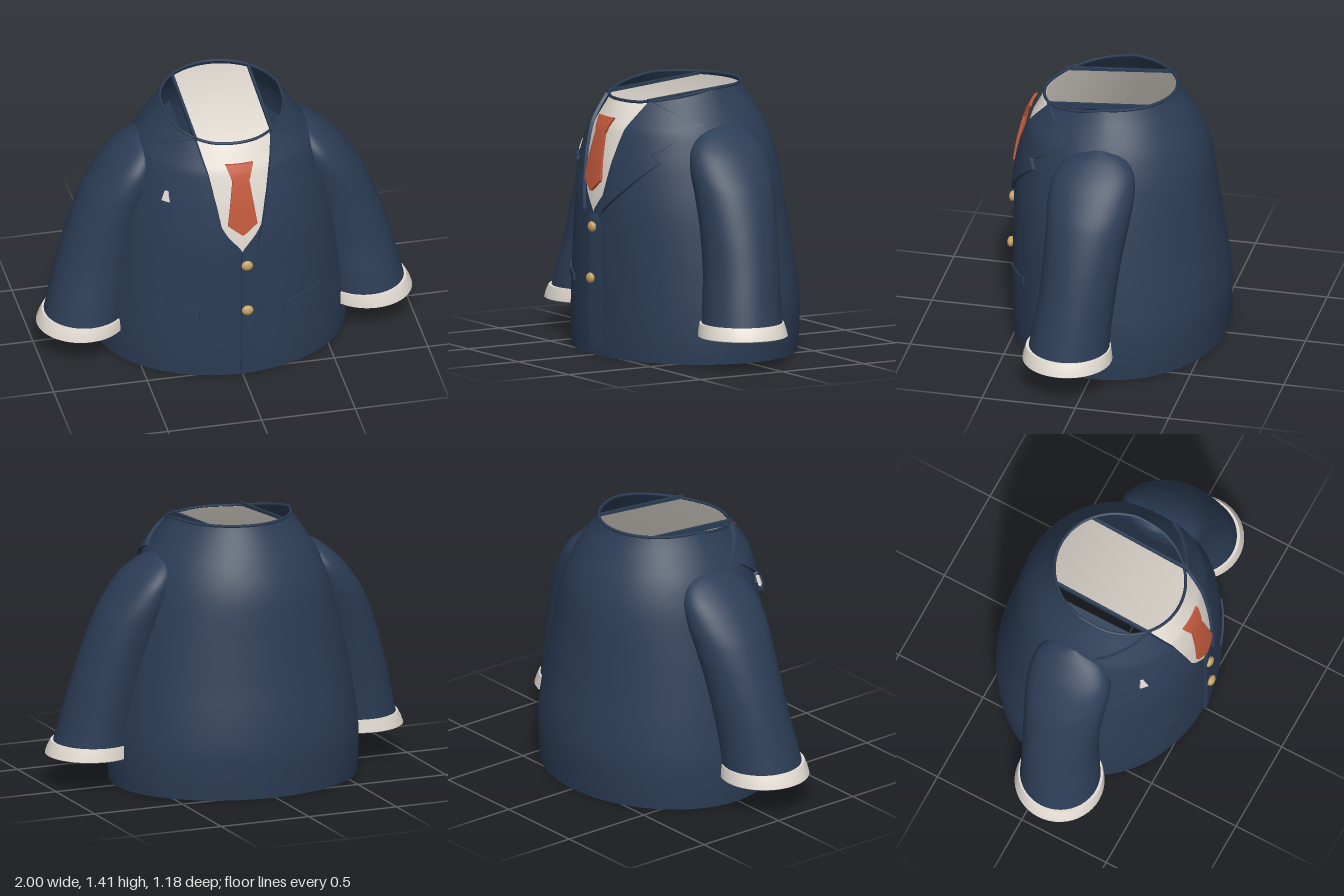
import * as THREE from 'three';
import { mergeVertices, toCreasedNormals } from 'three/addons/utils/BufferGeometryUtils.js';

const mat = (name, color) => new THREE.MeshStandardMaterial({ name, color, side: THREE.DoubleSide });
const { clamp, lerp } = THREE.MathUtils;

// Smooth lookup in a table of rows [y, a, b, ...]
function lookup(rows, y) {
  const n = rows.length;
  let i = 0;
  while (i < n - 2 && y > rows[i + 1][0]) i++;
  const p = rows[i], q = rows[i + 1], h = q[0] - p[0];
  const t = clamp((y - p[0]) / h, 0, 1);
  const slope = (k, c) => {
    const a = rows[Math.max(k - 1, 0)], b = rows[Math.min(k + 1, n - 1)];
    return (b[c] - a[c]) / (b[0] - a[0]);
  };
  return p.slice(1).map((_, j) => {
    const c = j + 1, t2 = t * t, t3 = t2 * t;
    return (2 * t3 - 3 * t2 + 1) * p[c] + (t3 - 2 * t2 + t) * h * slope(i, c)
      + (3 * t2 - 2 * t3) * q[c] + (t3 - t2) * h * slope(i + 1, c);
  });
}

// Straight lookup for outlines that need sharp corners
function outline(rows, y) {
  let i = 0;
  while (i < rows.length - 2 && y > rows[i + 1][0]) i++;
  const p = rows[i], q = rows[i + 1], t = clamp((y - p[0]) / (q[0] - p[0]), 0, 1);
  return p.slice(1).map((a, j) => lerp(a, q[j + 1], t));
}

// Surface grid from fn(u index, v index) -> [x, y, z]
function grid(nu, nv, fn, crease) {
  const pos = [], idx = [];
  for (let j = 0; j <= nv; j++) for (let i = 0; i <= nu; i++) pos.push(...fn(i, j));
  for (let j = 0; j < nv; j++) for (let i = 0; i < nu; i++) {
    const a = j * (nu + 1) + i, b = a + 1, c = a + nu + 1, d = c + 1;
    idx.push(a, b, d, a, d, c);
  }
  let g = new THREE.BufferGeometry();
  g.setAttribute('position', new THREE.Float32BufferAttribute(pos, 3));
  g.setIndex(idx);
  g = mergeVertices(g, 1e-5);
  g.computeVertexNormals();
  return crease ? toCreasedNormals(g, crease) : g;
}

// Torso: height, half width, front z, back z
const TORSO = [
  [0, 0.665, 0.54, -0.572], [0.1, 0.672, 0.545, -0.582], [0.25, 0.668, 0.547, -0.59],
  [0.4, 0.65, 0.547, -0.577], [0.6, 0.62, 0.545, -0.547], [0.8, 0.582, 0.54, -0.52],
  [1.0, 0.53, 0.515, -0.493], [1.1, 0.497, 0.494, -0.468], [1.2, 0.455, 0.467, -0.425],
  [1.3, 0.392, 0.432, -0.368], [1.36, 0.35, 0.41, -0.33], [1.41, 0.318, 0.388, -0.305]];
const NECKLINE = [[0.76, 0], [0.85, 0.075], [0.92, 0.115], [1.37, 0.19], [1.41, 0.2]];

// The neck opening dips toward the front
const dip = (y, z) => y - 0.07 * clamp((y - 1.2) / 0.21, 0, 1) * clamp(z / 0.36, 0, 1);

// Point on the torso at x and y, pushed out by off
function onTorso(x, y, off = 0, side = 1) {
  const [rx, f, b] = lookup(TORSO, y);
  const rz = (f - b) / 2, k = clamp(x / rx, -0.985, 0.985);
  const dz = side * rz * Math.sqrt(1 - k * k), z = (f + b) / 2 + dz;
  const n = new THREE.Vector3(k / rx, 0.25, dz / rz / rz).normalize().multiplyScalar(off);
  return [k * rx + n.x, dip(y, z) + n.y, z + n.z];
}

// Raised patch on the torso front; rows are [y, x from, x to], with closed rims
function patch(rows, off, { slope = 0, n = 10, base = 0 } = {}) {
  const ys = [];
  rows.forEach((r, i) => {
    ys.push(r[0]);
    const next = rows[i + 1];
    if (!next) return;
    const m = Math.ceil((next[0] - r[0]) / 0.02);
    for (let k = 1; k < m; k++) ys.push(lerp(r[0], next[0], k / m));
  });
  ys.unshift(ys[0]);
  ys.push(ys[ys.length - 1]);
  return grid(n + 2, ys.length - 1, (i, j) => {
    const y = ys[j], [a, b] = outline(rows, y);
    const s = clamp((i - 1) / n, 0, 1), x = lerp(a, b, s);
    const rim = i === 0 || i === n + 2 || j === 0 || j === ys.length - 1;
    return onTorso(x, y + slope * x, rim ? base : typeof off === 'function' ? off(s) : off);
  }, 0.6);
}

// Horizontal ellipse loft; rows are [y, x centre, z centre, x radius, z radius]
function ellipseLoft(rows, nu, crease) {
  return grid(nu, rows.length - 1, (i, j) => {
    const [y, cx, cz, rx, rz] = rows[j], a = -i / nu * Math.PI * 2;
    const c = i === nu ? 1 : Math.cos(a), s = i === nu ? 0 : Math.sin(a);
    return [cx + rx * c, y, cz + rz * s];
  }, crease);
}

export function createModel() {
  const model = new THREE.Group();
  model.name = 'suitJacket';
  const navy = mat('navy cloth', 0x2c3d56), white = mat('white cloth', 0xe3dcd3);
  const red = mat('tie red', 0xc2593c), gold = mat('button gold', 0xc4a162);
  const add = (name, geo, m, parent = model) => {
    const mesh = new THREE.Mesh(geo, m);
    mesh.name = name;
    parent.add(mesh);
    return mesh;
  };

  // Jacket body, open at hem and neck, parted along the neckline
  const NU = 96, NV = 71;
  add('jacketBody', grid(NU, NV, (i, j) => {
    const y = 1.41 * j / NV, [rx, f, b] = lookup(TORSO, y);
    const v = y <= 0.76 ? 0 : outline(NECKLINE, y)[0];
    const a0 = Math.asin(v / rx), a = lerp(a0, Math.PI * 2 - a0, i / NU);
    const z = (f + b) / 2 + (f - b) / 2 * Math.cos(a);
    return [rx * Math.sin(a), dip(y, z), z];
  }), navy);

  // Turned-in hem
  add('hem', ellipseLoft([[0.04, 0, -0.016, 0.652, 0.541], [0, 0, -0.016, 0.648, 0.538],
    [0, 0, -0.016, 0.665, 0.556]], 96, 0.6), navy);

  // Front overlap, fading into the body on one side
  add('frontPlacket', patch([[0.03, -0.01, 0.12], [0.7, -0.01, 0.1], [0.75, -0.005, 0.04]],
    s => lerp(0.018, -0.003, s), { base: -0.003 }), navy);

  // Neck binding
  const rim = [];
  for (const side of [1, -1]) for (let i = 0; i <= 16; i++) {
    const k = side * Math.sin((i / 16 - 0.5) * Math.PI * 0.96);
    rim.push(new THREE.Vector3(...onTorso(k * 0.316, 1.405, 0, side)));
  }
  add('neckBinding', new THREE.TubeGeometry(new THREE.CatmullRomCurve3(rim, true), 96, 0.008, 6, true), navy);

  // Shirt front, and the strip that carries it back across the neck
  const HALF = 0.2, STEPS = 12;
  add('shirtFront', patch([[0.72, -HALF, HALF], [1.4, -HALF, HALF]], -0.01, { base: -0.012 }), white);
  const strip = grid(STEPS, STEPS, (i, j) => {
    const x = lerp(-HALF, HALF, i / STEPS), t = j / STEPS;
    const f = onTorso(x, 1.4, -0.012), b = onTorso(x, 1.39, -0.012, -1);
    return [x, lerp(f[1], b[1], t), lerp(f[2], b[2], t)];
  });
  // Its normals carry on from the shirt front so the two shade as one cloth
  const at = strip.attributes.position, normal = new THREE.Vector3();
  for (let i = 0; i < at.count; i++) {
    normal.set(0, clamp(0.3 + at.getZ(i) * 0.5, 0.1, 0.5), 1).normalize();
    strip.attributes.normal.setXYZ(i, normal.x, normal.y, normal.z);
  }
  add('shirtNeck', strip, white);

  // Tie
  add('tie', patch([[0.865, -0.004, 0.004], [0.925, -0.075, 0.075], [1.17, -0.042, 0.042],
    [1.18, -0.048, 0.048], [1.275, -0.07, 0.07]], 0.028, { base: 0.014 }), red);

  // Lapels, hip pockets, shoulder lining and collar edges on both sides
  const LAPEL = [[0.76, 0.075, 0.085], [0.9, 0.105, 0.24], [1.04, 0.13, 0.37], [1.085, 0.14, 0.322],
    [1.1, 0.142, 0.355], [1.17, 0.155, 0.4], [1.24, 0.168, 0.42], [1.3, 0.18, 0.347],
    [1.36, 0.19, 0.265], [1.4, 0.196, 0.212]];
  const POCKET = [[0.325, 0.225, 0.435], [0.36, 0.225, 0.435]];
  for (const s of [1, -1]) {
    const side = s > 0 ? 'left' : 'right';
    const flip = rows => rows.map(([y, a, b]) => s > 0 ? [y, a, b] : [y, -b, -a]);
    add(side + 'Lapel', patch(flip(LAPEL), 0.018, { n: 14 }), navy);
    add(side + 'PocketFlap', patch(flip(POCKET), 0.01, { slope: s * 0.15 }), navy);
    add(side + 'ShoulderLining', grid(1, 1, (i, j) =>
      [s * (0.205 + 0.2 * j), 1.2 - 0.2 * j, 0.27 - 0.56 * i]), navy);
    const edge = add(side + 'CollarEdge', new THREE.BoxGeometry(0.014, 0.03, 0.57), navy);
    edge.position.set(s * 0.203, 1.365, 0.05);
    edge.rotation.x = 0.08;
  }

  // Breast pocket with a small folded handkerchief
  add('breastPocket', patch([[0.978, -0.39, -0.235], [0.993, -0.39, -0.235]], 0.032,
    { slope: -0.06, base: 0.01 }), navy);
  add('handkerchief', patch([[1.025, -0.378, -0.345], [1.075, -0.362, -0.35]],
    0.027, { base: 0.012 }), white);

  // Buttons
  for (const [y, z] of [[0.68, 0.563], [0.41, 0.573]]) {
    const button = add('button', new THREE.SphereGeometry(0.031, 20, 14), gold);
    button.scale.set(1, 0.9, 0.6);
    button.position.set(0.02, y, z);
  }

  // Sleeves: height, inner x, outer x, z centre, z radius
  const SLEEVE = [[0.172, 0.545, 0.972, 0.097, 0.214], [0.35, 0.52, 0.93, 0.08, 0.205],
    [0.5, 0.49, 0.892, 0.062, 0.2], [0.7, 0.445, 0.832, 0.045, 0.205], [0.9, 0.39, 0.752, 0.03, 0.22],
    [1.0, 0.365, 0.69, 0.025, 0.226], [1.1, 0.35, 0.612, 0.018, 0.212], [1.17, 0.345, 0.535, 0.01, 0.165],
    [1.21, 0.355, 0.48, 0.005, 0.105], [1.23, 0.39, 0.44, 0, 0.03]];
  const sections = [];
  for (let j = 0; j <= 50; j++) {
    const y = lerp(0.172, 1.23, j / 50), [a, b, cz, rz] = lookup(SLEEVE, y);
    sections.push([y, (a + b) / 2, cz, (b - a) / 2, rz]);
  }
  // Cuff ring: hem lip, outer wall, top lip
  const CUFF = [[0.168, 0.759, 0.097, 0.212, 0.212], [0.163, 0.765, 0.097, 0.227, 0.227],
    [0.168, 0.765, 0.097, 0.235, 0.235], [0.2, 0.759, 0.097, 0.23, 0.23],
    [0.235, 0.751, 0.095, 0.218, 0.222], [0.235, 0.751, 0.095, 0.2, 0.2]];
  const sleeveGeo = ellipseLoft(sections, 48), cuffGeo = ellipseLoft(CUFF, 48, 0.7);
  for (const s of [1, -1]) {
    const arm = new THREE.Group();
    arm.name = s > 0 ? 'leftSleeve' : 'rightSleeve';
    arm.scale.x = s;
    add('sleeve', sleeveGeo, navy, arm);
    add('cuff', cuffGeo, white, arm);
    model.add(arm);
  }
  return model;
}
